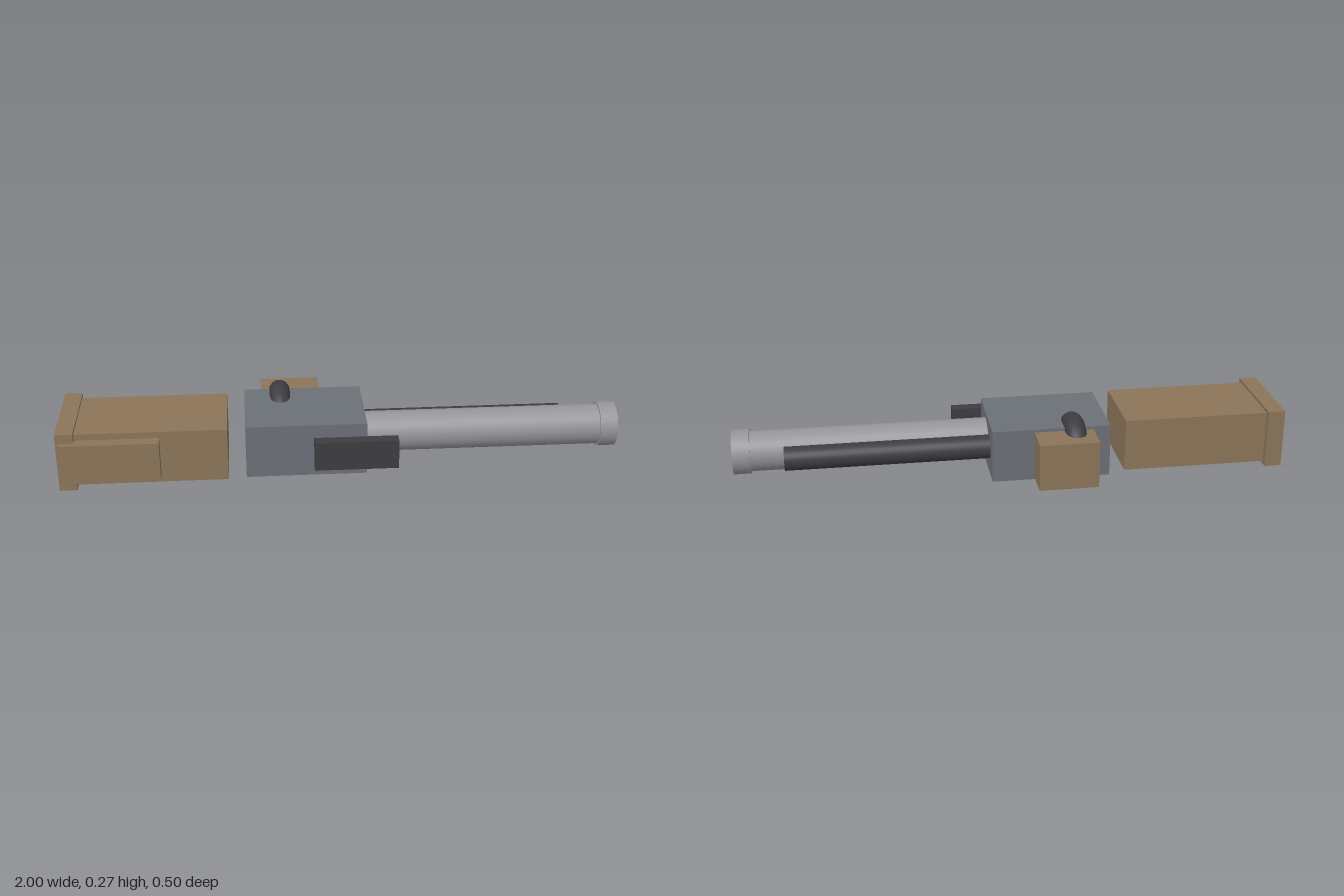
import * as THREE from 'three';

const material = (name, color) => {
  const m = new THREE.MeshStandardMaterial({ color });
  m.name = name;
  return m;
};

export function createModel() {
  const group = new THREE.Group();
  const wood = material('wood', 0x8b7559);
  const steel = material('receiver steel', 0x6b6f77);
  const barrelSteel = material('barrel steel', 0x949499);
  const dark = material('dark metal', 0x3d3d41);
  const midY = 0.137; // every part is centred on this height

  const add = (name, geometry, mat, x, z) => {
    const mesh = new THREE.Mesh(geometry, mat);
    mesh.name = name;
    mesh.position.set(x, midY, z);
    group.add(mesh);
  };

  // Block given by its x range, height and z range
  const block = (name, mat, x0, x1, height, z0, z1) =>
    add(name, new THREE.BoxGeometry(x1 - x0, height, z1 - z0), mat, (x0 + x1) / 2, (z0 + z1) / 2);

  // Round bar running along x
  const bar = (name, mat, x0, x1, radius, z) =>
    add(name, new THREE.CylinderGeometry(radius, radius, x1 - x0, 32).rotateZ(-Math.PI / 2), mat, (x0 + x1) / 2, z);

  // Shoulder stock
  block('stock', wood, -0.985, -0.41, 0.194, -0.1, 0.205);
  block('buttPlate', wood, -1, -0.938, 0.216, -0.122, 0.227);
  block('cheekRest', wood, -0.99, -0.645, 0.148, 0.2, 0.249);

  // Receiver, grip and trigger guard
  block('receiver', steel, -0.347, 0.081, 0.194, -0.129, 0.194);
  block('grip', wood, -0.284, -0.07, 0.173, -0.248, -0.1);
  add('triggerGuard', new THREE.TorusGeometry(0.097, 0.038, 16, 40).rotateY(Math.PI / 2), dark, -0.217, -0.097);

  // Sight rail floating off the receiver
  block('sightRail', dark, -0.107, 0.189, 0.106, 0.204, 0.249);

  // Barrel, muzzle ring and tube magazine
  bar('barrel', barrelSteel, 0.06, 0.99, 0.073, 0.054);
  bar('muzzle', barrelSteel, 0.937, 1, 0.081, 0.054);
  bar('magazineTube', dark, 0.06, 0.816, 0.043, -0.032);

  return group;
}
